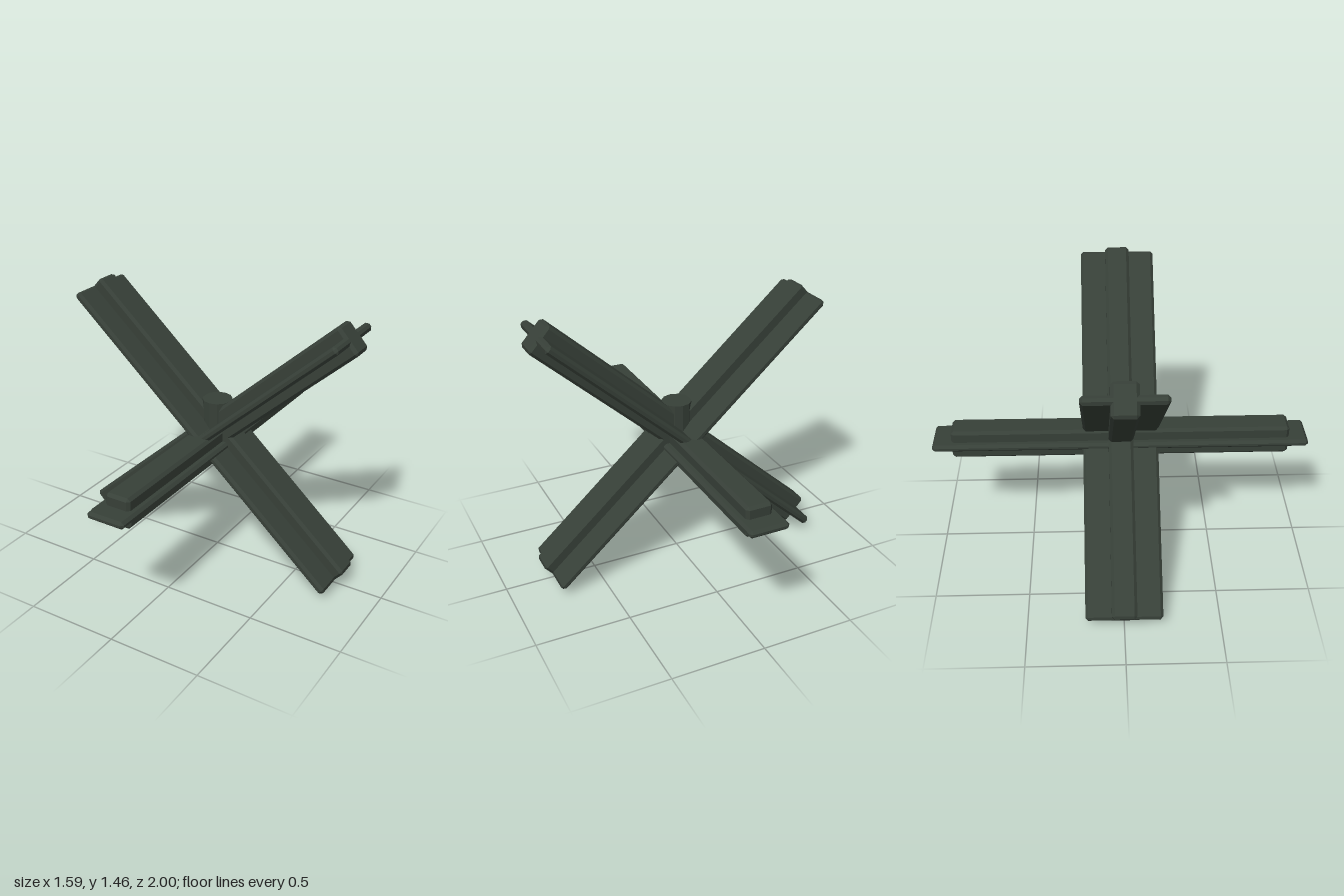
import * as THREE from 'three';
import { ConvexGeometry } from 'three/addons/geometries/ConvexGeometry.js';

const steel = new THREE.MeshStandardMaterial({ color: 0x374038 });
steel.name = 'dark green steel';

// Box with every edge chamfered by c
function chamferedBox(w, h, d, c) {
  const points = [];
  for (const x of [-w / 2, w / 2]) for (const y of [-h / 2, h / 2]) for (const z of [-d / 2, d / 2]) {
    const sx = Math.sign(x) * c, sy = Math.sign(y) * c, sz = Math.sign(z) * c;
    points.push(
      new THREE.Vector3(x, y - sy, z - sz),
      new THREE.Vector3(x - sx, y, z - sz),
      new THREE.Vector3(x - sx, y - sy, z)
    );
  }
  return new ConvexGeometry(points);
}

function addPart(parent, name, geometry) {
  const mesh = new THREE.Mesh(geometry, steel);
  mesh.name = name;
  parent.add(mesh);
  return mesh;
}

export function createModel() {
  const model = new THREE.Group();
  model.name = 'crossedBeamObstacle';

  // Two crossing diagonal beams, each a wide flange with a thick rib
  for (const side of [1, -1]) {
    const beam = new THREE.Group();
    beam.name = side > 0 ? 'leftRisingBeam' : 'rightRisingBeam';
    addPart(beam, 'flange', chamferedBox(2.02, 0.045, 0.4, 0.014));
    addPart(beam, 'rib', chamferedBox(2.02, 0.168, 0.13, 0.015));
    beam.position.y = 0.73;
    beam.rotation.z = side * THREE.MathUtils.degToRad(42);
    model.add(beam);
  }

  // Level beam running front to back
  const levelBeam = new THREE.Group();
  levelBeam.name = 'levelBeam';
  addPart(levelBeam, 'flange', chamferedBox(0.21, 0.04, 2, 0.014));
  addPart(levelBeam, 'rib', chamferedBox(0.14, 0.165, 1.8, 0.015));
  levelBeam.position.y = 0.68;
  model.add(levelBeam);

  // Short post at the crossing
  const post = addPart(model, 'centrePost',
    new THREE.CylinderGeometry(0.08, 0.08, 0.28, 12).toNonIndexed());
  post.geometry.computeVertexNormals();
  post.position.y = 0.77;

  return model;
}
